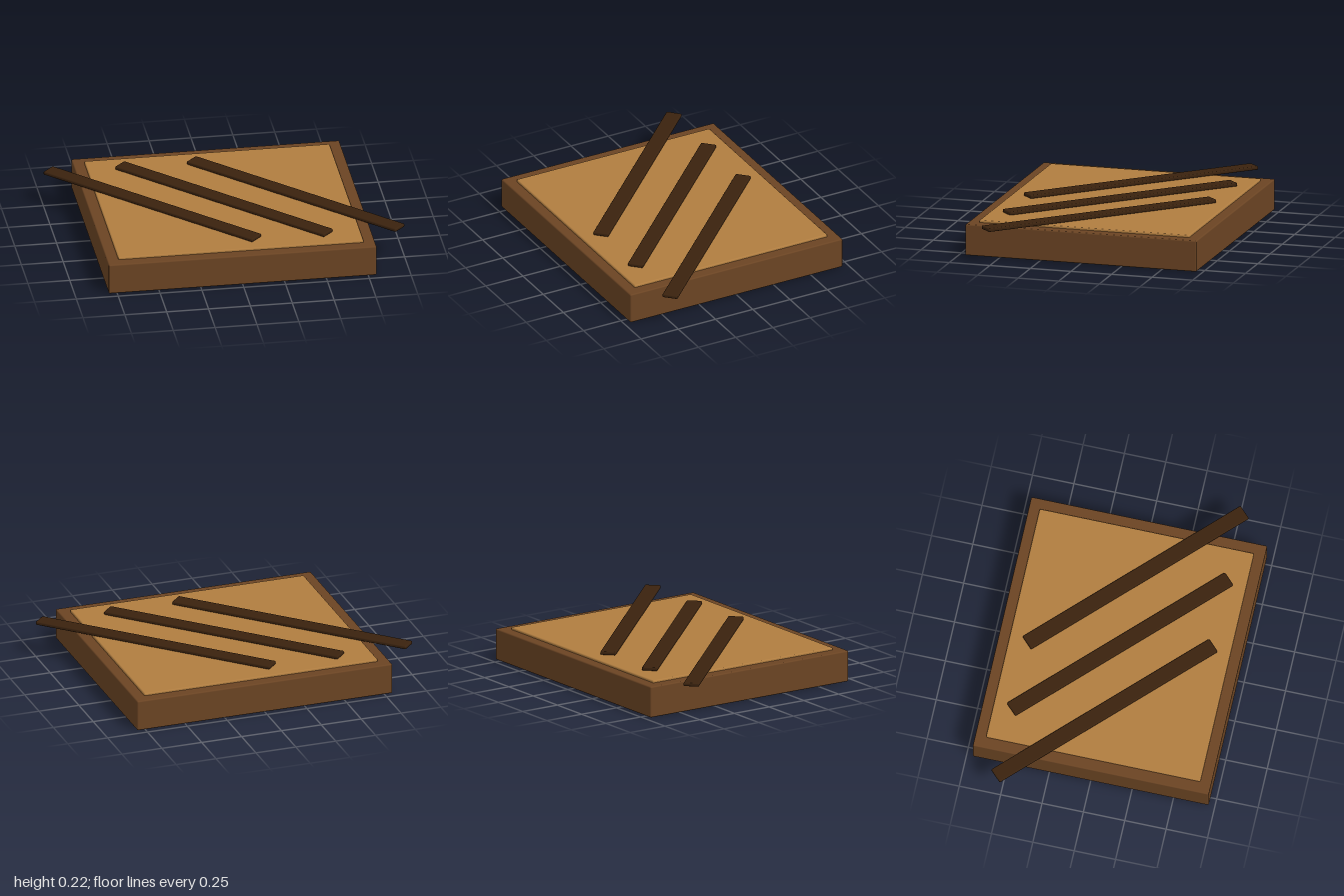
import * as THREE from 'three';
import { RoundedBoxGeometry } from 'three/addons/geometries/RoundedBoxGeometry.js';

const material = (name, color) => {
  const m = new THREE.MeshStandardMaterial({ color });
  m.name = name;
  return m;
};

// Softly edged block whose underside sits at height y
function block(name, [w, h, d], radius, mat, x, y) {
  const mesh = new THREE.Mesh(new RoundedBoxGeometry(w, h, d, 2, radius), mat);
  mesh.name = name;
  mesh.position.set(x, y + h / 2, 0);
  return mesh;
}

export function createModel() {
  const brown = material('brown wood', 0x6b4423);
  const tan = material('tan wood', 0xb07d40);
  const dark = material('dark wood', 0x3a220e);

  const model = new THREE.Group();
  model.name = 'slattedBoard';

  // Thick base and the slightly raised panel on it
  model.add(block('base', [1.6, 0.188, 1.425], 0.008, brown, 0, 0));
  model.add(block('topPanel', [1.465, 0.04, 1.295], 0.008, tan, 0, 0.162));

  // Three parallel diagonal slats; the outer two overhang the sides
  for (const i of [-1, 0, 1]) {
    const slat = block('diagonalSlat', [1.525, 0.022, 0.094], 0.008, dark, i * 0.428, 0.201);
    slat.rotation.y = -Math.PI / 4;
    model.add(slat);
  }
  return model;
}
